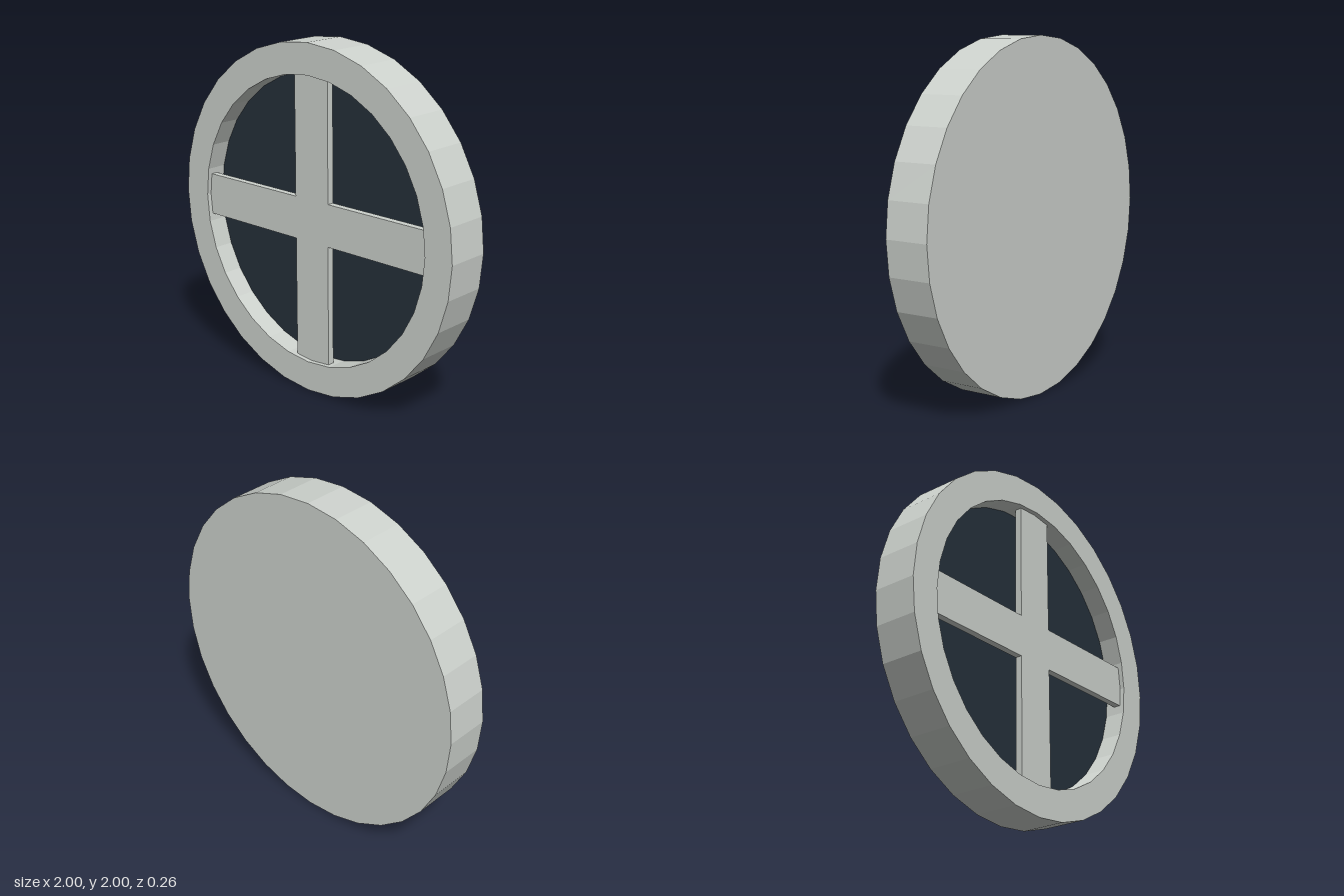
import * as THREE from 'three';

const SIDES = 32;
const RIM = 1;        // outer radius
const OPENING = 0.825; // inner radius of the rim
const HALF = 0.13;    // half of the depth

export function createModel() {
  const frameGrey = new THREE.MeshStandardMaterial({ color: 0xcdd2cd, flatShading: true });
  frameGrey.name = 'frame grey';
  const darkGlass = new THREE.MeshStandardMaterial({ color: 0x25303a, flatShading: true });
  darkGlass.name = 'dark glass';

  const model = new THREE.Group();
  model.name = 'roundWindow';
  const add = (name, geometry, material, z = 0) => {
    const mesh = new THREE.Mesh(geometry, material);
    mesh.name = name;
    mesh.position.set(0, 1, z);
    model.add(mesh);
    return mesh;
  };

  // Dish-shaped frame: closed back, outer wall, front rim and recess
  const profile = [
    [0, -HALF], [RIM, -HALF], [RIM, HALF], [OPENING, HALF], [OPENING, 0], [0, 0],
  ].map(([r, y]) => new THREE.Vector2(r, y));
  add('frame', new THREE.LatheGeometry(profile, SIDES).rotateX(Math.PI / 2), frameGrey);

  // Glass lying on the floor of the recess
  add('glass', new THREE.CircleGeometry(OPENING, SIDES), darkGlass, 0.008);

  // Crossed bars set just behind the rim, clear of the glass, very slightly turned
  const arm = 0.84, w = 0.122;
  const cross = new THREE.Shape([
    [w, w], [w, arm], [-w, arm], [-w, w], [-arm, w], [-arm, -w],
    [-w, -w], [-w, -arm], [w, -arm], [w, -w], [arm, -w], [arm, w],
  ].map(([x, y]) => new THREE.Vector2(x, y)));
  const bars = add('crossBars',
    new THREE.ExtrudeGeometry(cross, { depth: 0.04, bevelEnabled: false }), frameGrey, 0.063);
  bars.position.x = 0.006;
  bars.position.y = 1.008;
  bars.rotation.z = 0.006;

  return model;
}
